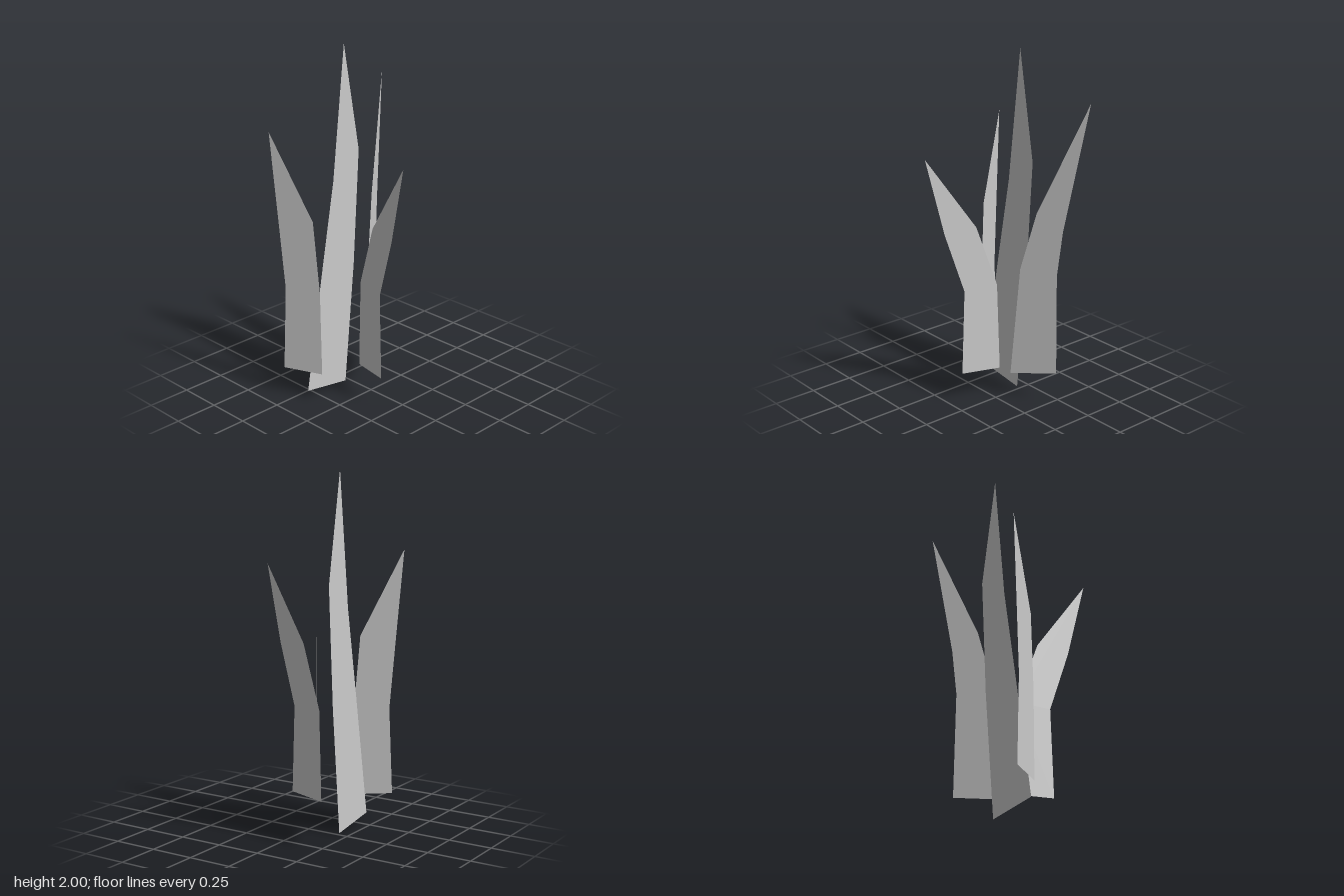
import * as THREE from 'three';

// Flat upright blade: outline of [u, y] points, where place(u) gives the x and z on its vertical plane
function blade(name, outline, place) {
  const shape = new THREE.Shape(outline.map(([u, y]) => new THREE.Vector2(u, y)));
  const geometry = new THREE.ShapeGeometry(shape);
  const pos = geometry.attributes.position;
  for (let i = 0; i < pos.count; i++) {
    const [x, z] = place(pos.getX(i));
    pos.setXYZ(i, x, pos.getY(i), z);
  }
  geometry.computeVertexNormals();
  const material = new THREE.MeshStandardMaterial({
    color: 0xcccccc, flatShading: true, side: THREE.DoubleSide,
  });
  const mesh = new THREE.Mesh(geometry, material);
  mesh.name = name;
  return mesh;
}

export function createModel() {
  const group = new THREE.Group();
  group.name = 'grassTuft';

  // Tall blade facing straight forward (u is x)
  group.add(blade('tallBlade', [
    [-0.32, 0.045], [-0.025, 0.0], [0.047, 0.72], [0.09, 1.39],
    [-0.017, 2.0], [-0.105, 1.25], [-0.2, 0.73],
  ], (x) => [x, -0.185]));

  // Blade leaning out to the left and back (u is x)
  group.add(blade('leftBlade', [
    [0.04, 0.145], [0.265, 0.18], [0.26, 0.77], [0.285, 1.03],
    [0.4, 1.755], [0.16, 1.12], [0.085, 0.79],
  ], (x) => [x, -0.05 - 0.65 * x]));

  // Blade at the right rear (u is z)
  group.add(blade('rightBlade', [
    [-0.32, 0.167], [-0.12, 0.155], [-0.125, 0.65], [-0.155, 1.07],
    [-0.367, 1.555], [-0.33, 1.05], [-0.302, 0.66],
  ], (z) => [-0.4 + (z + 0.367) / 1.9, z]));

  // Blade leaning forward, almost edge-on to the front (u is z)
  group.add(blade('frontBlade', [
    [-0.06, 0.157], [-0.043, 0.675], [0.08, 1.035], [0.37, 1.46],
    [0.265, 1.02], [0.153, 0.67], [0.17, 0.17],
  ], (z) => [-0.05 - 0.243 * z, z]));

  return group;
}
